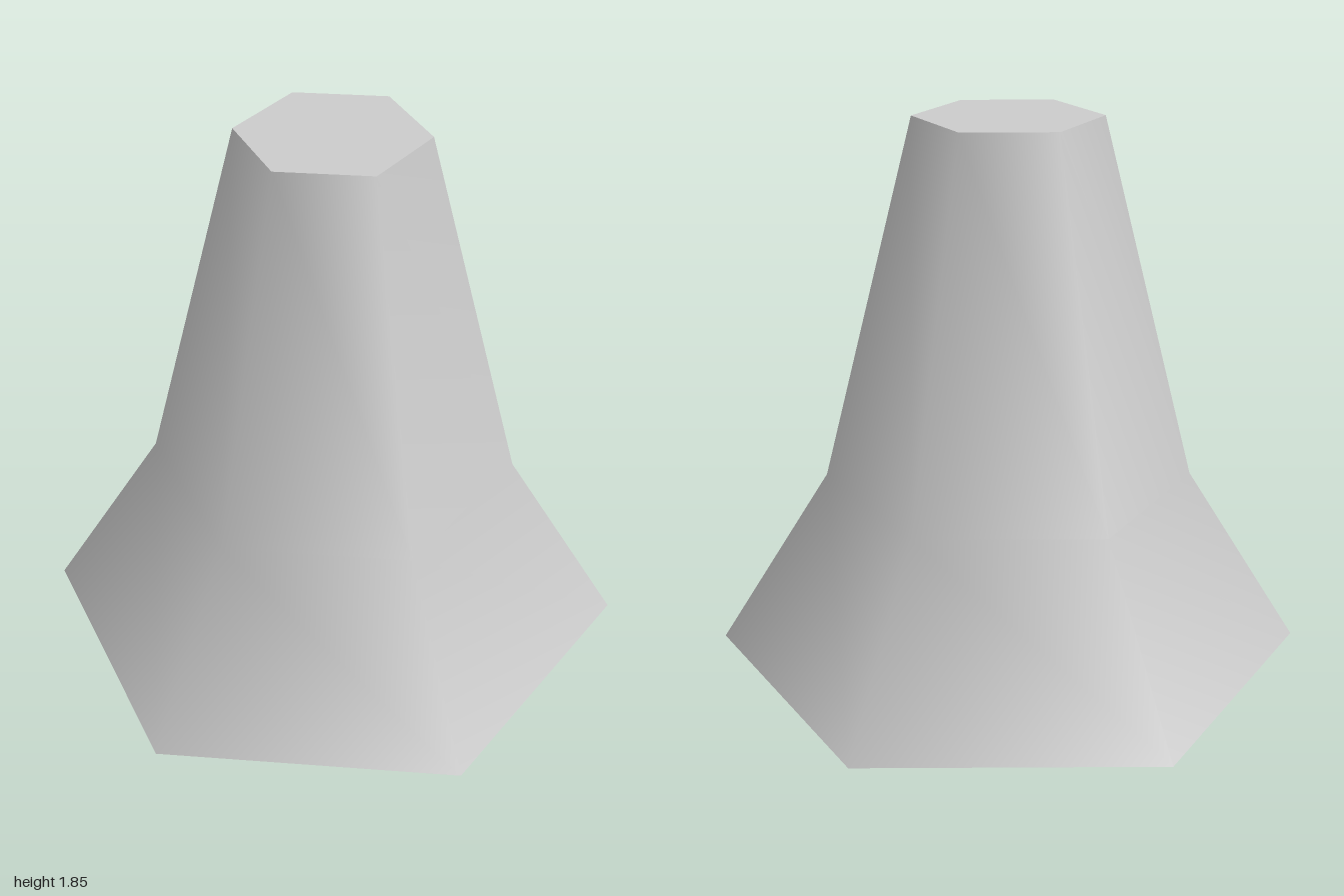
import * as THREE from 'three';

const SIDES = 6;

export function createModel() {
  const model = new THREE.Group();
  const grey = new THREE.MeshStandardMaterial({ color: 0xcccccc });
  grey.name = 'light grey';

  const add = (name, geometry) => {
    const mesh = new THREE.Mesh(geometry, grey);
    mesh.name = name;
    model.add(mesh);
    return mesh;
  };

  // Smooth-shaded hexagonal body: flared skirt below, tapering column above
  const profile = [[1, 0], [0.62, 0.617], [0.31, 1.85]].map(([r, y]) => new THREE.Vector2(r, y));
  add('body', new THREE.LatheGeometry(profile, SIDES));

  // Flat hexagonal caps with corners on the z axis
  const cap = (radius, tilt) => new THREE.CircleGeometry(radius, SIDES, Math.PI / 2).rotateX(tilt);
  add('topCap', cap(0.31, -Math.PI / 2)).position.y = 1.85;
  add('base', cap(1, Math.PI / 2));

  return model;
}
